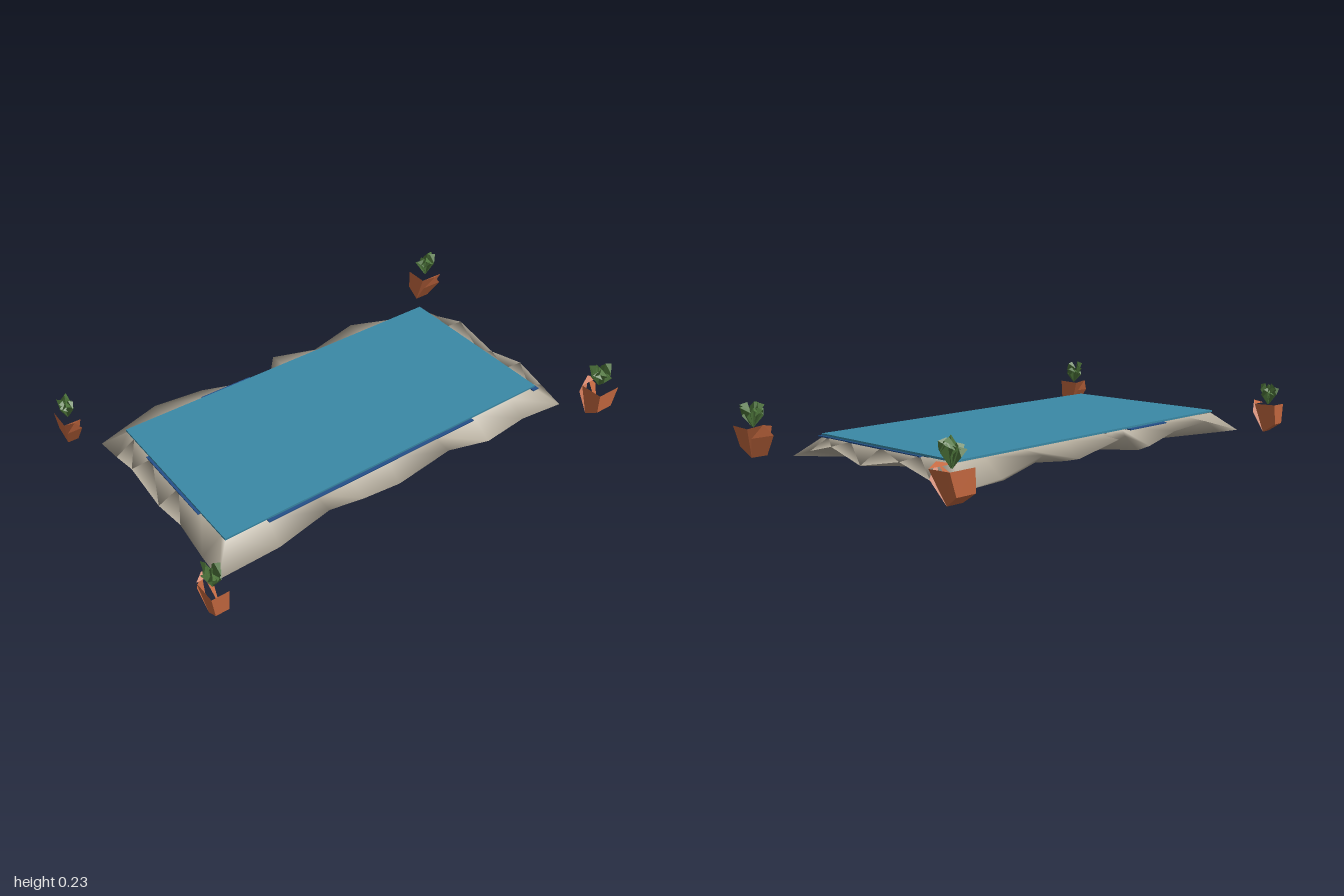
import * as THREE from 'three';

const mat = (name, color, opts = {}) => {
  const m = new THREE.MeshStandardMaterial({ color, side: THREE.DoubleSide, ...opts });
  m.name = name;
  return m;
};

function rng(seed) {
  return () => (seed = (seed * 16807) % 2147483647) / 2147483647;
}

function geometryFrom(points, index) {
  const g = new THREE.BufferGeometry();
  g.setAttribute('position', new THREE.Float32BufferAttribute(points.flat(), 3));
  if (index) g.setIndex(index);
  g.computeVertexNormals();
  return g;
}

// Smooth skin over closed rings of [x, y, z] points
function skin(rings) {
  const n = rings[0].length, index = [];
  for (let r = 0; r < rings.length - 1; r++) {
    for (let i = 0; i < n; i++) {
      const a = r * n + i, b = r * n + (i + 1) % n;
      index.push(a, b, a + n, b, b + n, a + n);
    }
  }
  return geometryFrom(rings.flat(), index);
}

// Open-topped pot: a pointed profile [outward z, y] given a width in x
function potGeometry([lowLeft, lowRight, topLeft, topRight], z) {
  const profile = [[0.06, 0.125], [0.06, 0.04], [0, 0], [-0.05, 0.085], [-0.065, 0.135], [-0.04, 0.122]];
  const n = profile.length, s = Math.sign(z), index = [];
  const side = (left) => profile.map(([d, y], i) => {
    const t = Math.min(1, y / 0.12);
    const lo = THREE.MathUtils.lerp(lowLeft, topLeft, t), hi = THREE.MathUtils.lerp(lowRight, topRight, t);
    const x = i === 4 ? (lo + hi) / 2 : left ? lo : hi;
    return [x, y, z + d * s];
  });
  const tri = (a, b, c) => index.push(...(s > 0 ? [a, b, c] : [a, c, b]));
  for (let i = 0; i < n - 1; i++) {
    tri(i, i + n + 1, i + n);
    tri(i, i + 1, i + n + 1);
  }
  for (let k = 3; k < n + 1; k++) {
    const a = k % n, b = (k + 1) % n;
    tri(2, b, a);
    tri(2 + n, a + n, b + n);
  }
  return geometryFrom([...side(true), ...side(false)], index);
}

export function createModel() {
  const model = new THREE.Group();
  const stone = mat('stone', 0xb5ad9d);
  const water = mat('water', 0x3a89a6);
  const liner = mat('navy liner', 0x24508a);
  const clay = mat('terracotta', 0xc4683f, { flatShading: true, side: THREE.FrontSide });
  const leafGreen = mat('leaf green', 0x4c733a, { flatShading: true });

  const add = (parent, name, geometry, material, x = 0, y = 0, z = 0) => {
    const m = new THREE.Mesh(geometry, material);
    m.name = name;
    m.position.set(x, y, z);
    parent.add(m);
  };

  // Outer edge of the rocky rim, [x, y, z], with uneven heights
  const outer = [
    [-0.88, 0.005, 0.455], [-0.62, 0.01, 0.455], [-0.4, 0.075, 0.46], [-0.24, 0.05, 0.465],
    [-0.06, 0.02, 0.455], [0.18, 0.075, 0.465], [0.4, 0.015, 0.465], [0.6, 0.03, 0.455],
    [0.82, 0.005, 0.455], [0.82, 0.04, 0.34], [0.825, 0.075, 0.2], [0.83, 0.03, 0.02],
    [0.83, 0.075, -0.2], [0.82, 0.03, -0.35], [0.82, 0.005, -0.47],
    [0.6, 0.02, -0.47], [0.4, 0.075, -0.48], [0.19, 0.03, -0.47], [-0.03, 0.075, -0.48],
    [-0.1, 0.05, -0.4], [-0.17, 0.06, -0.4], [-0.24, 0.02, -0.47], [-0.4, 0.06, -0.475],
    [-0.62, 0.075, -0.48], [-0.88, 0.005, -0.47], [-0.88, 0.03, -0.33], [-0.885, 0.075, -0.18],
    [-0.885, 0.04, 0.03], [-0.885, 0.075, 0.2], [-0.88, 0.02, 0.34],
  ];
  const inner = outer.map(([x, , z]) => [
    THREE.MathUtils.clamp(x, -0.795, 0.735), 0.083, THREE.MathUtils.clamp(z, -0.385, 0.37)]);
  // Jagged footprint on the ground
  const foot = outer.map(([x, y, z]) => {
    const k = y > 0.06 ? 0.62 : y > 0.025 ? 0.77 : 0.91;
    return [x * k, 0, z * k];
  });

  const rim = new THREE.Group();
  rim.name = 'rockyRim';
  model.add(rim);
  add(rim, 'rim', skin([foot, outer, inner]), stone);

  // Underside with a few irregular gaps
  const under = new THREE.Shape(foot.map(([x, , z]) => new THREE.Vector2(x, z)));
  const gaps = [
    [[0.57, 0.29], [0.35, 0.05], [0.46, 0.06], [0.48, 0.12]],
    [[0.3, -0.2], [0.45, -0.2], [0.42, -0.12]],
    [[-0.05, -0.24], [-0.2, -0.2], [-0.3, -0.1], [-0.1, -0.12]],
    [[-0.45, -0.1], [-0.28, -0.02], [-0.38, 0.05]],
    [[-0.13, 0.2], [-0.5, 0.3], [-0.47, 0.24], [-0.25, 0.06]],
  ];
  for (const gap of gaps) {
    under.holes.push(new THREE.Path(gap.map(([x, z]) => new THREE.Vector2(x, z))));
  }
  add(rim, 'underside', new THREE.ShapeGeometry(under).rotateX(Math.PI / 2), stone);

  // Water sheet
  add(model, 'water', new THREE.BoxGeometry(1.54, 0.008, 0.765), water, -0.03, 0.09, -0.007);

  // Liner slivers showing around the water, and a patch under it
  for (const [w, d, x, z] of [[1.0, 0.03, -0.12, 0.374], [0.24, 0.03, -0.32, -0.39],
    [0.03, 0.4, -0.795, 0.0], [0.03, 0.6, 0.733, 0.09], [0.28, 0.28, 0.5, 0.16]]) {
    add(model, 'liner', new THREE.BoxGeometry(w, 0.005, d), liner, x, 0.083, z);
  }

  // Potted plants: pot z, pot x limits at foot and top, leaf centre and reach in x and z
  const spots = [
    [0.56, [-0.985, -0.94, -1, -0.93], -0.963, 0.565, 0.037, 0.055],
    [-0.565, [-0.985, -0.94, -1, -0.93], -0.963, -0.572, 0.037, 0.052],
    [0.56, [0.87, 0.94, 0.87, 0.98], 0.932, 0.555, 0.058, 0.058],
    [-0.565, [0.87, 0.94, 0.87, 0.98], 0.922, -0.57, 0.055, 0.052],
  ];
  spots.forEach(([z, limits, lx, lz, sx, sz], n) => {
    const plant = new THREE.Group();
    plant.name = 'pottedPlant';
    model.add(plant);
    add(plant, 'pot', potGeometry(limits, z), clay);

    // Broad folded leaves fanning outward
    const rand = rng(37 + n * 101), corners = [];
    for (let k = 0; k < 8; k++) {
      const a = k * 2.4 + rand(), r = 0.8 + rand() * 0.2, h = 0.055 + rand() * 0.045;
      const c = Math.cos(a), s = Math.sin(a);
      const at = (out, side, y) => [(c * out - s * side) * sx, y, (s * out + c * side) * sz];
      const root = at(0.05, 0, 0), tip = at(r, 0.1, h), ridge = at(r * 0.4, 0, h + 0.008);
      const left = at(r * 0.6, 0.5, h * 0.65), right = at(r * 0.5, -0.5, h * 0.75);
      corners.push(root, ridge, left, left, ridge, tip, root, right, ridge, right, tip, ridge);
    }
    add(plant, 'leaves', geometryFrom(corners), leafGreen, lx, 0.12, lz);
  });

  return model;
}
